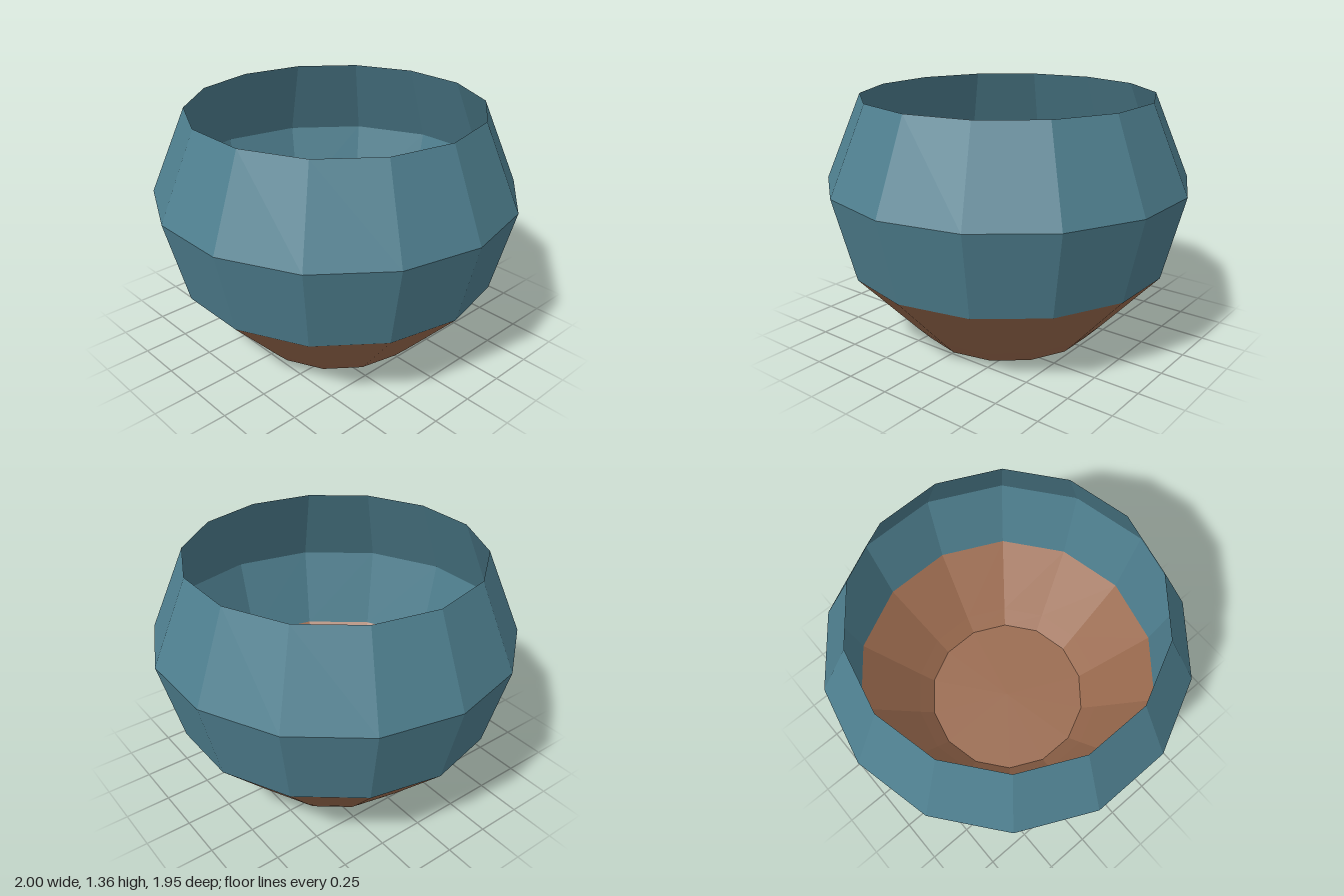
import * as THREE from 'three';

const SIDES = 14;

function material(name, color) {
  const m = new THREE.MeshStandardMaterial({ color, flatShading: true, side: THREE.DoubleSide });
  m.name = name;
  return m;
}

// Faceted open shell from [radius, height] pairs, with a corner on the x axis
function shell(name, profile, mat) {
  const points = profile.map(([r, y]) => new THREE.Vector2(r, y));
  const mesh = new THREE.Mesh(new THREE.LatheGeometry(points, SIDES, Math.PI / 2), mat);
  mesh.name = name;
  return mesh;
}

export function createModel() {
  const group = new THREE.Group();
  group.name = 'bowl';
  const teal = material('tealGlaze', 0x4f8090);
  const brown = material('brownClay', 0x9a6a4e);

  // Glazed upper wall, widest at the shoulder and narrowing to the rim
  group.add(shell('upperWall', [[0.885, 0.43], [1, 0.89], [0.8, 1.357]], teal));

  // Bare clay lower wall
  group.add(shell('lowerWall', [[0.485, 0], [0.567, 0.085], [0.885, 0.43]], brown));

  // Flat floor closing the bottom
  const floor = new THREE.Mesh(new THREE.CircleGeometry(0.485, SIDES).rotateX(-Math.PI / 2), brown);
  floor.name = 'floor';
  group.add(floor);

  return group;
}
